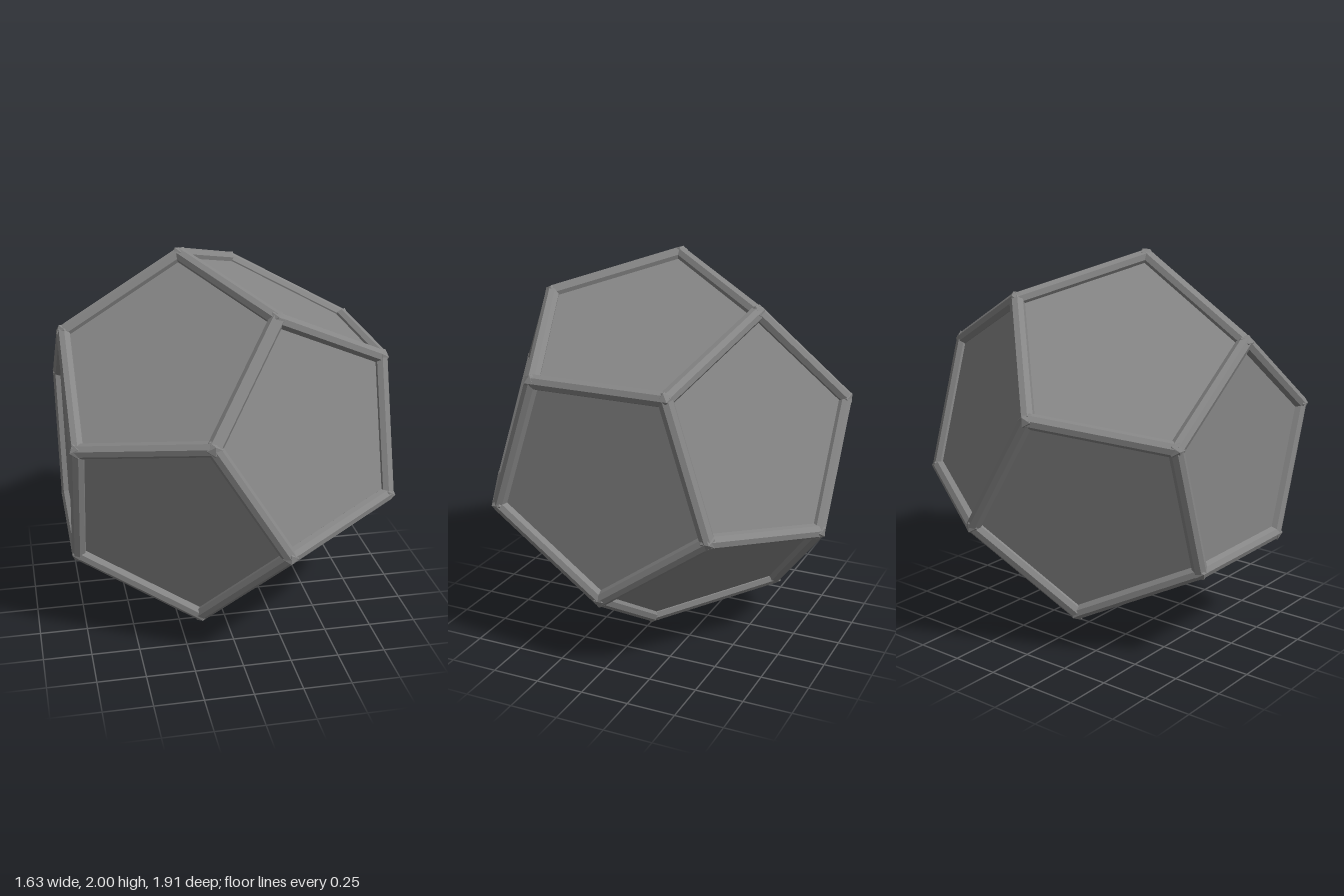
import * as THREE from 'three';
import { ConvexGeometry } from 'three/addons/geometries/ConvexGeometry.js';

const R = 0.979;      // circumradius of the dodecahedron
const STRUT = 0.038;  // radius of the edge struts
const JOINT = 0.045;  // radius of the corner joints
const UP = new THREE.Vector3(0, 1, 0);

// Twenty corners: two pentagon rings about the x axis, each mirrored through the centre
function corners() {
  const points = [];
  for (const [x, radius] of [[0.7947, 0.607], [0.1876, 0.9822]]) {
    for (let k = 0; k < 5; k++) {
      const a = -Math.PI / 2 + (k * Math.PI * 2) / 5;
      const p = new THREE.Vector3(x, radius * Math.sin(a), radius * Math.cos(a)).multiplyScalar(R);
      points.push(p, p.clone().negate());
    }
  }
  return points;
}

export function createModel() {
  const group = new THREE.Group();
  group.name = 'framedDodecahedron';
  const material = new THREE.MeshStandardMaterial({ color: 0x868686, flatShading: true });
  const points = corners();

  const add = (name, geometry, position) => {
    const mesh = new THREE.Mesh(geometry, material);
    mesh.name = name;
    mesh.position.copy(position);
    mesh.position.y += 1;
    group.add(mesh);
    return mesh;
  };

  // Solid body with twelve flat pentagon panels
  add('panels', new ConvexGeometry(points), new THREE.Vector3());

  // Faceted joint on every corner, slightly thicker than the struts
  const joint = new THREE.IcosahedronGeometry(JOINT, 0);
  for (const p of points) add('cornerJoint', joint, p);

  // Eight-sided strut along every edge (neighbouring corners are 0.714 R apart)
  const length = 0.7136 * R;
  const strut = new THREE.CylinderGeometry(STRUT, STRUT, length, 8);
  points.forEach((a, i) => {
    for (const b of points.slice(i + 1)) {
      if (a.distanceTo(b) > length * 1.1) continue;
      const mesh = add('edgeStrut', strut, a.clone().add(b).multiplyScalar(0.5));
      mesh.quaternion.setFromUnitVectors(UP, b.clone().sub(a).normalize());
    }
  });

  return group;
}
